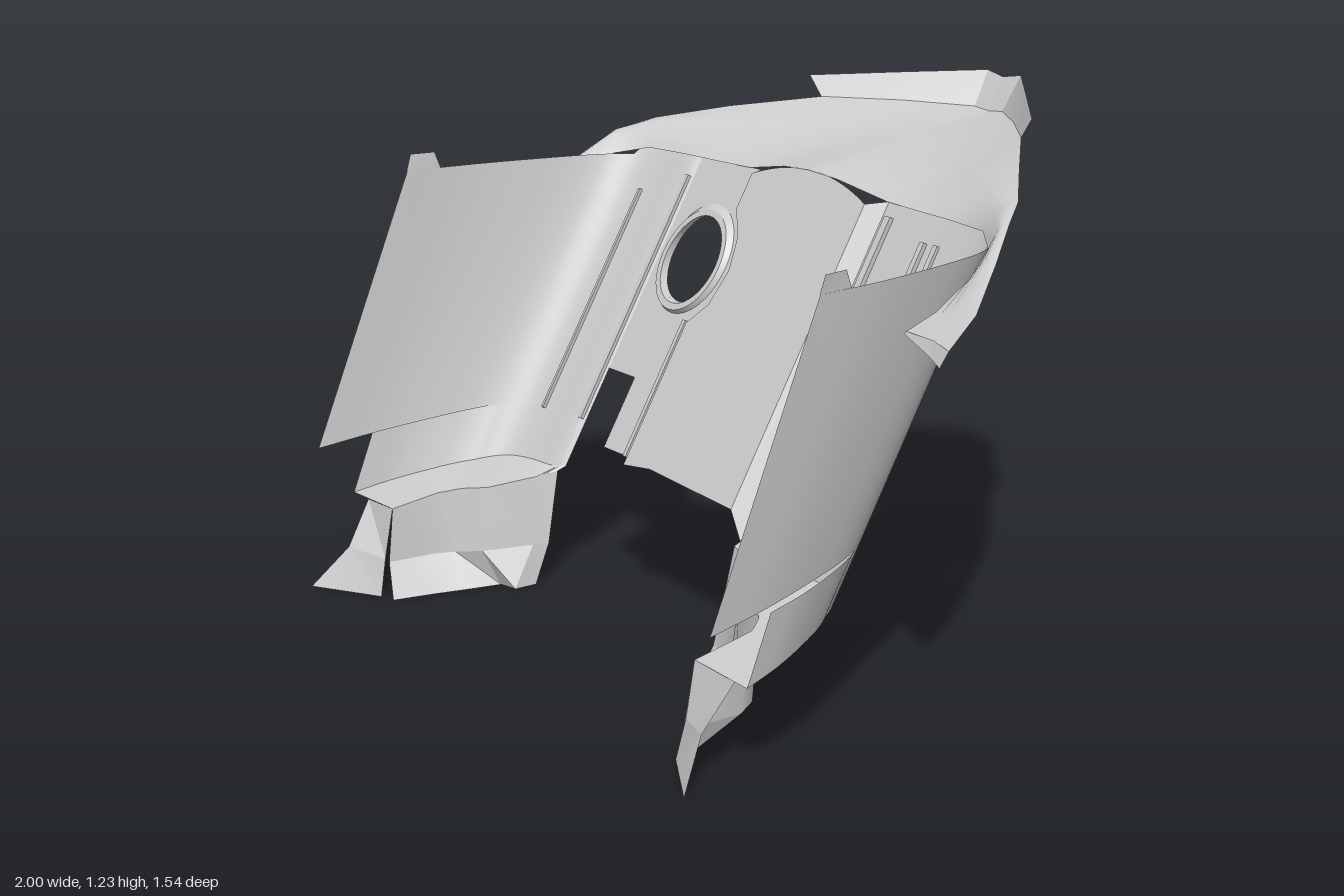
import * as THREE from 'three';
import { toCreasedNormals } from 'three/addons/utils/BufferGeometryUtils.js';

const material = new THREE.MeshStandardMaterial({ color: 0xcccccc, side: THREE.DoubleSide });
const V = (p) => new THREE.Vector3(...p);

// depth of the sloping bulkhead at height y
const slope = (y) => -0.19 + (1.02 - y) * 0.58;
const LEAN = Math.atan(0.58);

function add(group, name, geometry, crease = 0.5) {
  const mesh = new THREE.Mesh(toCreasedNormals(geometry, crease), material);
  mesh.name = name;
  group.add(mesh);
  return mesh;
}

// skin stretched over rows of equally many points
function loft(rows) {
  const n = rows[0].length, index = [];
  for (let r = 0; r < rows.length - 1; r++)
    for (let i = 0; i < n - 1; i++) {
      const a = r * n + i, b = a + n;
      index.push(a, a + 1, b, a + 1, b + 1, b);
    }
  const g = new THREE.BufferGeometry();
  g.setAttribute('position', new THREE.Float32BufferAttribute(rows.flat().flat(), 3));
  g.setIndex(index);
  g.computeVertexNormals();
  return g;
}

// evenly spaced points along straight segments
const resample = (pts, n) =>
  new THREE.CatmullRomCurve3(pts.map(V), false, 'catmullrom', 0).getSpacedPoints(n).map((p) => p.toArray());
const smooth = (pts, n) =>
  new THREE.CatmullRomCurve3(pts.map(V), false, 'centripetal').getPoints(n).map((p) => p.toArray());
const mirror = (rows, s) => rows.map((row) => row.map(([x, y, z]) => [s * x, y, z]));

// flat outline laid onto the slope
function slopedPanel(shape, lift) {
  const g = new THREE.ShapeGeometry(shape, 24);
  const p = g.attributes.position;
  for (let i = 0; i < p.count; i++) p.setZ(i, slope(p.getY(i)) + lift);
  g.computeVertexNormals();
  return g;
}

// plan section of a footwell: x, depth ahead of the slope
const plan = (xStart) => smooth([[xStart, 0, 0], [0.48, 0, 0.012], [0.6, 0, 0.025], [0.66, 0, 0.045],
  [0.7, 0, 0.085], [0.73, 0, 0.15], [0.765, 0, 0.28], [0.795, 0, 0.43], [0.815, 0, 0.6]], 32);

function footwellRow(section, height, front) {
  return section.map(([x, , d]) => {
    let y = 0.3, z = 0;
    for (let k = 0; k < 4; k++) {
      y = height(z, d);
      const c = slope(y);
      z = c + (d < 0.1 ? d : 0.1 + (d - 0.1) * (front(y) - c - 0.1) / 0.5);
    }
    return [x, y, z];
  });
}

function footwell(s, xStart, lipInner, sillLine, floorLine) {
  const g = new THREE.Group();
  g.name = s > 0 ? 'leftFootwell' : 'rightFootwell';
  const section = plan(xStart);
  const upperFront = (y) => 0.44 + (1.02 - y) * 0.415;
  const lowerFront = (y) => 0.57 + (0.36 - y) * 0.4;
  const rows = [];
  for (let i = 0; i <= 6; i++)
    rows.push(footwellRow(section, (z, d) => {
      const top = d < 0.05 ? 1.02 : 1.0, low = d < 0.1 ? 0.4 : 0.4 - (d - 0.1) * 0.12;
      return top + (low - top) * i / 6;
    }, upperFront));
  add(g, 'footwellWall', loft(mirror(rows, s)), 0.7);

  // lower band, ending in a sloping edge with an inward lip
  const bandTop = footwellRow(section, (z, d) => (d < 0.1 ? 0.4 : 0.4 - (d - 0.1) * 0.08), lowerFront);
  const bottom = footwellRow(section, (z) => 0.29 - (z - 0.24) * 0.205, lowerFront);
  add(g, 'lowerBand', loft(mirror([bandTop, bottom], s)), 0.7);
  add(g, 'bottomLip', loft(mirror([bottom, resample(lipInner, 32)], s)));

  // toe wall under the lip and the foot flange
  add(g, 'toeWall', loft(mirror([lipInner, sillLine], s)), 0.6);
  add(g, 'footFlange', loft(mirror([sillLine, floorLine], s)), 0.3);
  add(g, 'sillEnd', loft(mirror([
    [lipInner.at(-1), [0.76, 0.205, 0.62]],
    [[0.63, 0.09, 0.65], [0.74, 0.1, 0.69]],
    [[0.62, 0.0, 0.67], [0.79, 0.0, 0.77]]], s)), 0.3);

  // small tab at the top front corner
  add(g, 'cornerTab', loft(mirror([
    [[0.805, 1.0, 0.36], [0.815, 1.0, 0.45]],
    [[0.807, 1.04, 0.375], [0.817, 1.04, 0.437]]], s)));
  return g;
}

function rib(group, x, y0, y1, width = 0.014, lift = 0.012) {
  const y = (y0 + y1) / 2;
  const m = add(group, 'stiffeningRib',
    new THREE.BoxGeometry(width, (y1 - y0) / Math.cos(LEAN), 0.018));
  m.position.set(x, y, slope(y) + lift);
  m.rotation.x = -LEAN;
}

export function createModel() {
  const model = new THREE.Group();

  // raised centre panel, its right edge bending around the collar
  const edge = [[-0.22, 1.02], [-0.22, 0.94], [-0.17, 0.88], [-0.15, 0.81], [-0.17, 0.73],
    [-0.22, 0.68], [-0.22, 0.36]];
  const centre = new THREE.Shape();
  centre.moveTo(0.23, 0.36);
  centre.lineTo(0.23, 1.015);
  centre.quadraticCurveTo(0, 1.095, -0.2, 1.02);
  edge.forEach(([x, y]) => centre.lineTo(x + 0.02, y));
  centre.lineTo(-0.1, 0.372);
  add(model, 'centrePanel', slopedPanel(centre, 0.045));
  add(model, 'collarStep', loft([
    edge.map(([x, y]) => [x, y, slope(y)]),
    edge.map(([x, y]) => [x + 0.02, y, slope(y) + 0.045])]));
  add(model, 'centreStep', loft([
    [[0.23, 1.015, slope(1.015) + 0.045], [0.23, 0.36, slope(0.36) + 0.045]],
    [[0.26, 1.02, slope(1.02)], [0.26, 0.29, slope(0.29)]]]));

  // panel with the round opening and the notch
  const hole = new THREE.Shape();
  edge.forEach(([x, y], i) => (i ? hole.lineTo(x, y) : hole.moveTo(x, y)));
  [[-0.35, 0.36], [-0.35, 0.52], [-0.46, 0.52], [-0.46, 1.02]].forEach((p) => hole.lineTo(...p));
  const opening = new THREE.Path();
  opening.absarc(-0.32, 0.8, 0.1, 0, Math.PI * 2, true);
  hole.holes.push(opening);
  add(model, 'openingPanel', slopedPanel(hole, 0));
  const ring = (r, lift) => Array.from({ length: 41 }, (_, i) => {
    const a = i / 40 * Math.PI * 2, y = 0.8 + r * Math.sin(a);
    return [-0.32 + r * Math.cos(a), y, slope(y) + lift];
  });
  add(model, 'openingRim', loft([ring(0.125, 0), ring(0.115, 0.014), ring(0.1, 0.014), ring(0.1, -0.008)]));

  // footwells on both sides
  model.add(footwell(1, 0.26,
    [[0.26, 0.285, 0.25], [0.33, 0.275, 0.27], [0.49, 0.25, 0.41], [0.58, 0.25, 0.42], [0.62, 0.24, 0.47], [0.62, 0.21, 0.62]],
    [[0.26, 0.06, 0.31], [0.34, 0.06, 0.32], [0.49, 0.06, 0.42], [0.58, 0.06, 0.44], [0.62, 0.06, 0.5], [0.62, 0.06, 0.65]],
    [[0.26, 0, 0.35], [0.35, 0, 0.35], [0.48, 0, 0.48], [0.55, 0, 0.55], [0.6, 0, 0.6], [0.62, 0, 0.67]]));
  model.add(footwell(-1, 0.46,
    [[0.47, 0.28, 0.25], [0.49, 0.27, 0.28], [0.54, 0.25, 0.41], [0.6, 0.24, 0.45], [0.63, 0.23, 0.5], [0.64, 0.21, 0.62]],
    [[0.47, 0.1, 0.28], [0.48, 0.1, 0.32], [0.54, 0.09, 0.43], [0.6, 0.08, 0.47], [0.62, 0.08, 0.52], [0.63, 0.08, 0.64]],
    [[0.47, 0, 0.32], [0.47, 0, 0.38], [0.52, 0, 0.39], [0.54, 0, 0.48], [0.56, 0, 0.56], [0.58, 0, 0.66]]));

  // pressed ribs on the sloping walls
  for (const x of [0.44, 0.485]) rib(model, x, 0.33, 0.96);
  rib(model, 0.29, 0.4, 0.99, 0.02, 0.005);
  rib(model, -0.245, 0.36, 0.67, 0.012, 0.005);
  rib(model, -0.475, 0.4, 0.97, 0.016, 0.005);
  rib(model, -0.61, 0.4, 0.92, 0.008, 0.026);

  // cowl: outer and inner edges from the middle to the wing tip
  const outer = [[0, 1.14, -0.72], [0.05, 1.145, -0.72], [0.2, 1.15, -0.62], [0.37, 1.15, -0.49], [0.54, 1.12, -0.33],
    [0.68, 1.085, -0.2], [0.74, 1.055, -0.12], [0.79, 0.99, -0.04], [0.9, 0.925, 0.11], [1.0, 0.895, 0.27]];
  const inner = [[0, 1.057, -0.16], [0.1, 1.05, -0.165], [0.26, 1.02, -0.185], [0.36, 1.02, -0.175], [0.5, 1.02, -0.165],
    [0.63, 1.02, -0.145], [0.71, 1.0, -0.09], [0.75, 0.955, 0.0], [0.785, 0.91, 0.12], [0.81, 0.89, 0.22]];
  const bulge = [0, 0, 0, 0.006, 0.016, 0.02, 0.02, 0.012, 0, 0];
  const cowlRows = [];
  for (let k = 0; k <= 6; k++) {
    const t = k / 6;
    cowlRows.push(outer.map((o, i) => o.map((v, a) =>
      v + (inner[i][a] - v) * t + (a === 1 ? bulge[i] * Math.sin(Math.PI * t) : 0))));
  }
  // upright rim along the tip, and turned-down wing edge
  const rimBase = [[0, 1.14, -0.72], [0.05, 1.145, -0.72], [0.2, 1.15, -0.62], [0.37, 1.15, -0.49]];
  const rimTop = [[0.03, 1.22, -0.765], [0.06, 1.23, -0.77], [0.22, 1.217, -0.64], [0.41, 1.2, -0.485]];
  rimTop[0][0] = 0;
  for (const s of [1, -1]) {
    const half = new THREE.Group();
    half.name = s > 0 ? 'leftCowl' : 'rightCowl';
    add(half, 'cowlPanel', loft(mirror(cowlRows, s)), 0.6);
    add(half, 'cowlRim', loft(mirror([rimBase, rimTop], s)), 0.4);
    add(half, 'wingEdge', loft(mirror([
      [[1.0, 0.895, 0.27], [0.93, 0.9, 0.25], [0.81, 0.89, 0.22]],
      [[0.99, 0.86, 0.285], [0.93, 0.872, 0.265], [0.81, 0.885, 0.225]]], s)));
    model.add(half);
  }
  return model;
}
